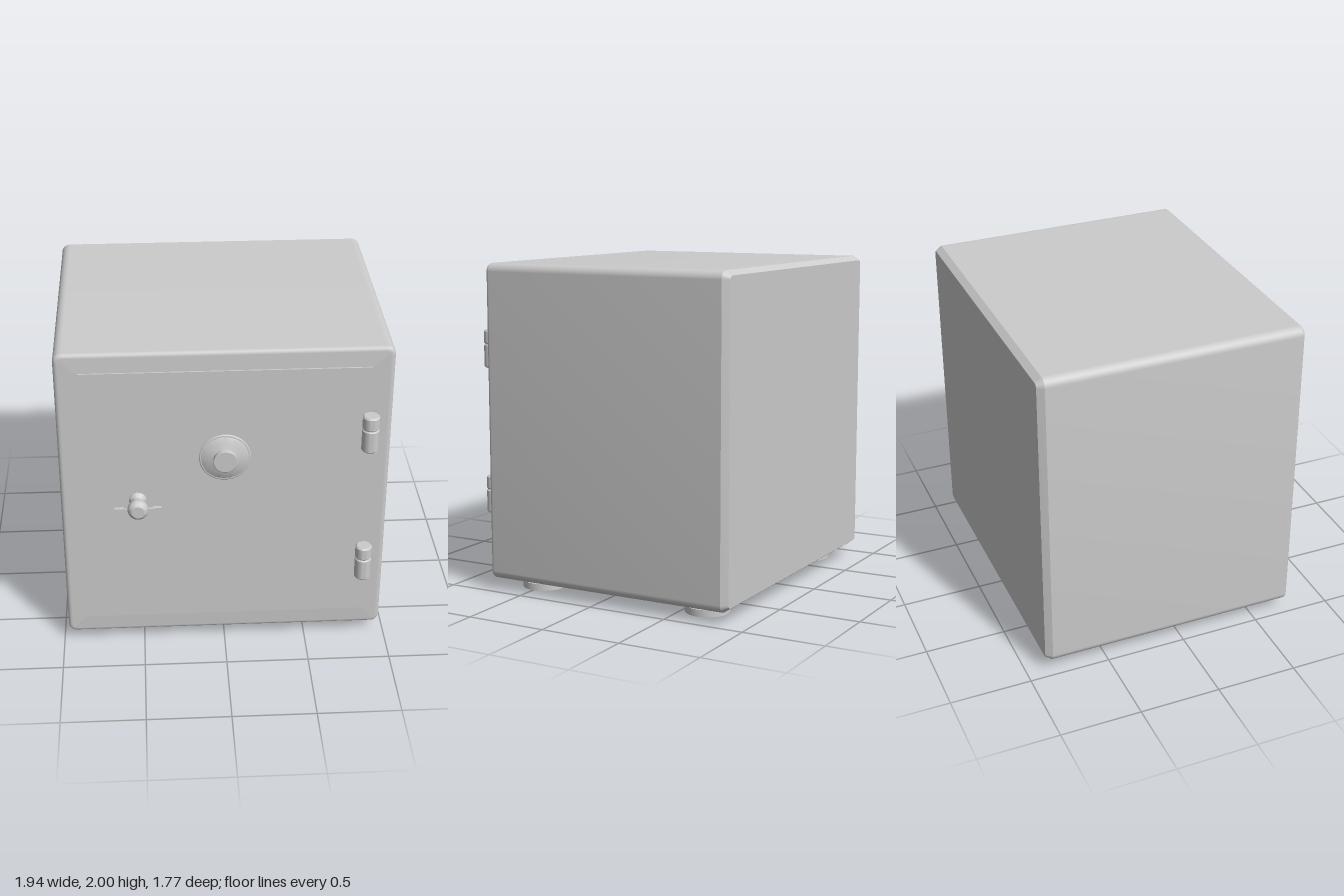
import * as THREE from 'three';
import { toCreasedNormals } from 'three/addons/utils/BufferGeometryUtils.js';

const material = new THREE.MeshStandardMaterial({ color: 0xcccccc });

function addMesh(parent, name, geometry, x = 0, y = 0, z = 0) {
  const mesh = new THREE.Mesh(geometry, material);
  mesh.name = name;
  mesh.position.set(x, y, z);
  parent.add(mesh);
  return mesh;
}

// Turned part around y from [radius, height] pairs, bottom to top
function turned(profile, segments = 40) {
  const points = profile.map(([r, h]) => new THREE.Vector2(r, h));
  return toCreasedNormals(new THREE.LatheGeometry(points, segments), 0.45);
}

// Rounded rectangle, counter-clockwise seen from +z; extra points keep flat sides flat
function roundedRing(halfW, halfH, radius, steps = 6) {
  const ring = [];
  for (let c = 0; c < 4; c++) {
    const cx = (c === 0 || c === 3 ? 1 : -1) * (halfW - radius);
    const cy = (c < 2 ? 1 : -1) * (halfH - radius);
    const start = (c * Math.PI) / 2;
    const corner = [];
    for (let i = 0; i <= steps; i++) {
      const a = start + ((i / steps) * Math.PI) / 2;
      corner.push([cx + radius * Math.cos(a), cy + radius * Math.sin(a)]);
    }
    const tx = -Math.sin(start) * 0.004, ty = Math.cos(start) * 0.004;
    corner.unshift([corner[0][0] - tx, corner[0][1] - ty]);
    const last = corner[corner.length - 1];
    corner.push([last[0] - ty, last[1] + tx]);
    ring.push(...corner);
  }
  return ring;
}

// Slab lofted from back to front through [z, inset] sections, capped at both ends
function roundedSlab(halfW, halfH, radius, sections) {
  const positions = [], indices = [];
  let n = 0;
  for (const [z, inset] of sections) {
    const ring = roundedRing(halfW - inset, halfH - inset, Math.max(radius - inset, 0.012));
    n = ring.length;
    for (const [x, y] of ring) positions.push(x, y, z);
  }
  const top = (sections.length - 1) * n;
  const back = sections.length * n, front = back + 1;
  positions.push(0, 0, sections[0][0], 0, 0, sections[sections.length - 1][0]);
  for (let i = 0; i < n; i++) {
    const j = (i + 1) % n;
    for (let s = 0; s < top; s += n) {
      indices.push(s + i, s + j, s + n + j, s + i, s + n + j, s + n + i);
    }
    indices.push(back, j, i, front, top + i, top + j);
  }
  const geometry = new THREE.BufferGeometry();
  geometry.setAttribute('position', new THREE.Float32BufferAttribute(positions, 3));
  geometry.setIndex(indices);
  return toCreasedNormals(geometry, 0.45);
}

export function createModel() {
  const model = new THREE.Group();
  model.name = 'safe';

  // Cabinet: chamfered back edge, rounded front edge
  const sections = [[-0.885, 0.028], [-0.845, 0], [0.706, 0]];
  for (let i = 0; i <= 4; i++) {
    const a = (i / 4) * (Math.PI / 2);
    sections.push([0.71 + 0.025 * Math.sin(a), 0.025 * (1 - Math.cos(a))]);
  }
  sections.push([0.735, 0.03]);
  addMesh(model, 'cabinet', roundedSlab(0.97, 0.965, 0.05, sections), 0, 1.035, 0);

  // Door panel standing slightly proud of the front
  addMesh(model, 'door', roundedSlab(0.845, 0.845, 0.015, [[0.73, 0], [0.745, 0]]), 0, 1.035, 0);

  // Combination dial
  const dial = turned([
    [0, 0], [0.152, 0], [0.152, 0.009], [0.147, 0.013], [0.138, 0.013], [0.134, 0.016],
    [0.1, 0.026], [0.07, 0.036], [0.07, 0.062], [0.067, 0.065], [0, 0.065],
  ], 56);
  addMesh(model, 'dial', dial, 0, 1.315, 0.74).rotation.x = Math.PI / 2;

  // Handle: turned knob with two paddle-ended arms
  const handle = new THREE.Group();
  handle.name = 'handle';
  handle.position.set(-0.515, 1.035, 0.74);
  model.add(handle);
  const knob = turned([
    [0, 0], [0.052, 0], [0.052, 0.012], [0.045, 0.022], [0.034, 0.032], [0.032, 0.06],
    [0.036, 0.068], [0.057, 0.088], [0.061, 0.098], [0.061, 0.118], [0.056, 0.13],
    [0.045, 0.141], [0.038, 0.145], [0, 0.145],
  ]);
  addMesh(handle, 'knob', knob).rotation.x = Math.PI / 2;
  for (const side of [-1, 1]) {
    addMesh(handle, 'arm', new THREE.BoxGeometry(0.06, 0.016, 0.014), side * 0.065, 0, 0.11);
    addMesh(handle, 'paddle', new THREE.BoxGeometry(0.054, 0.028, 0.022), side * 0.111, 0, 0.11);
  }

  // Hinges: two knuckles around a pin
  const hinge = turned([
    [0, 0], [0.042, 0], [0.05, 0.009], [0.05, 0.136], [0.043, 0.143], [0.043, 0.147],
    [0.05, 0.154], [0.05, 0.221], [0.042, 0.23], [0, 0.23],
  ], 32);
  for (const y of [0.46, 1.36]) addMesh(model, 'hinge', hinge, 0.84, y, 0.785);

  // Round feet with a narrower neck
  const foot = turned([[0, 0], [0.135, 0], [0.135, 0.042], [0.108, 0.042], [0.108, 0.075], [0, 0.075]]);
  for (const x of [-0.725, 0.725]) {
    for (const z of [0.5, -0.64]) addMesh(model, 'foot', foot, x, 0, z);
  }

  return model;
}
